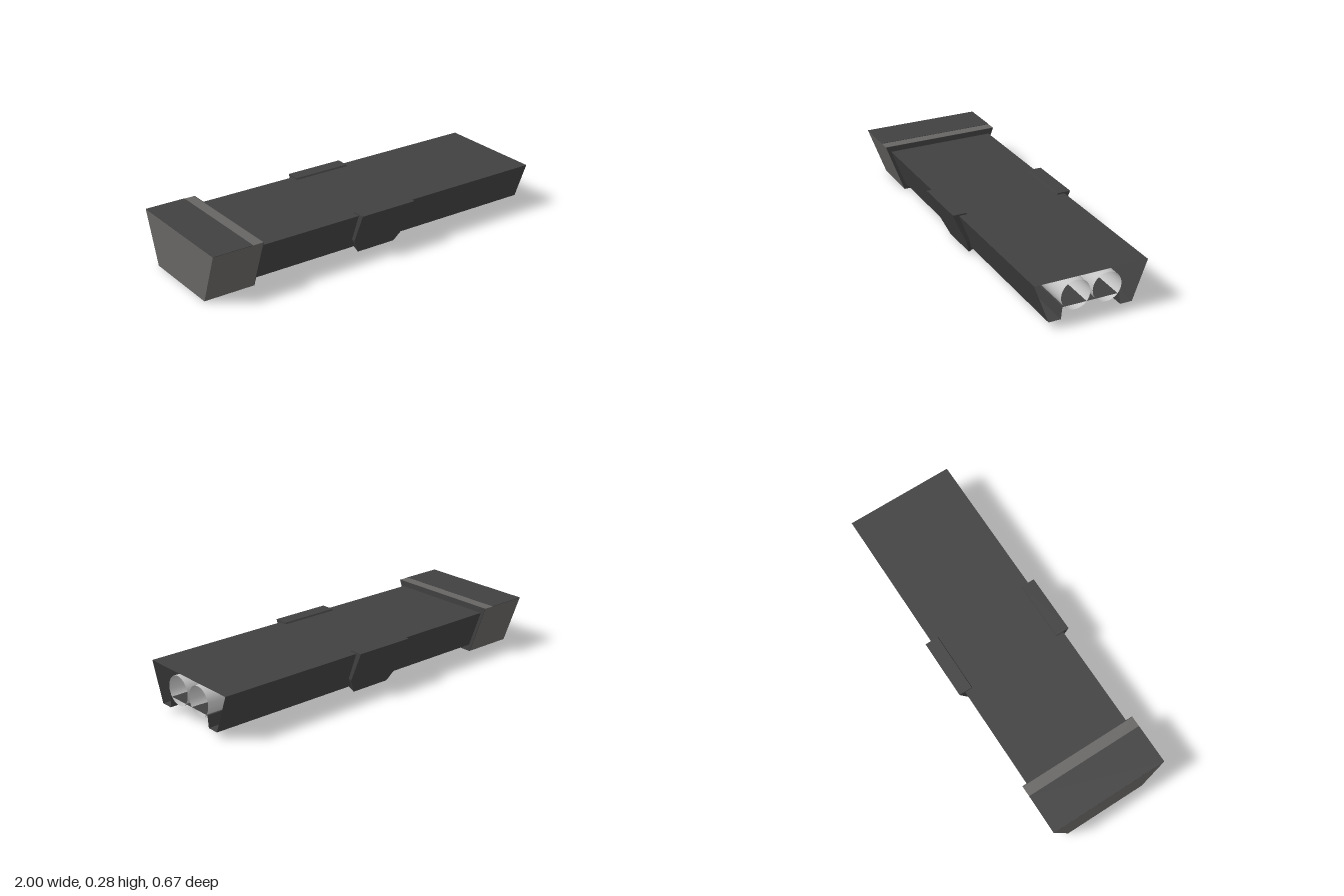
import * as THREE from 'three';

const dark = new THREE.MeshStandardMaterial({ color: 0x404040, side: THREE.DoubleSide });
dark.name = 'dark casing';
const grey = new THREE.MeshStandardMaterial({ color: 0x676563 });
grey.name = 'warm grey';
const metal = new THREE.MeshStandardMaterial({ color: 0xc4c4c4, side: THREE.DoubleSide });
metal.name = 'light metal';

// Joins matching loops of [x, y, z] points with flat faces, optionally capped.
function loft(sections, capped = true) {
  const pos = [];
  const tri = (a, b, c) => pos.push(...a, ...b, ...c);
  const n = sections[0].length;
  for (let s = 0; s < sections.length - 1; s++) {
    const a = sections[s], b = sections[s + 1];
    for (let i = 0; i < n; i++) {
      const j = (i + 1) % n;
      tri(a[i], a[j], b[j]);
      tri(a[i], b[j], b[i]);
    }
  }
  if (capped) {
    const first = sections[0], last = sections[sections.length - 1];
    for (let i = 1; i < n - 1; i++) {
      tri(first[0], first[i + 1], first[i]);
      tri(last[0], last[i], last[i + 1]);
    }
  }
  const g = new THREE.BufferGeometry();
  g.setAttribute('position', new THREE.Float32BufferAttribute(pos, 3));
  g.computeVertexNormals();
  return g;
}

// Straight bar along x from a [z, y] profile.
const bar = (profile, x0, x1, capped) =>
  loft([x0, x1].map((x) => profile.map(([z, y]) => [x, y, z])), capped);

export function createModel() {
  const model = new THREE.Group();
  const add = (name, geometry, material, parent = model) => {
    const m = new THREE.Mesh(geometry, material);
    m.name = name;
    parent.add(m);
    return m;
  };

  // Hollow casing with two lips and a recessed underside, open at the end
  add('casing', bar([
    [0.225, 0.037], [0.16, 0.037], [0.153, 0.1], [-0.153, 0.1],
    [-0.16, 0.037], [-0.225, 0.037], [-0.303, 0.245], [0.303, 0.245],
  ], -0.72, 1, false), dark);

  // End block, with a dark top plate and dark inner face
  const trapezoid = [[0.23, 0], [-0.23, 0], [-0.333, 0.276], [0.333, 0.276]];
  add('endBlock', bar(trapezoid, -1, -0.722), grey);
  add('endBlockInnerFace', bar(trapezoid, -0.722, -0.719), dark);
  const plate = add('endBlockTopPlate', new THREE.BoxGeometry(0.22, 0.002, 0.666), dark);
  plate.position.set(-0.89, 0.2765, 0);

  // Parallel open tubes
  for (const side of [1, -1]) {
    const tube = add(side > 0 ? 'leftTube' : 'rightTube',
      new THREE.CylinderGeometry(0.078, 0.078, 1.72, 32, 1, true), metal);
    tube.rotation.z = Math.PI / 2;
    tube.position.set(0.14, 0.15, side * 0.084);
  }

  // Side clips: slanted slabs tapering at the foot
  const clipLevel = (half, [zo, yo], [zi, yi]) =>
    [[-half, yo, zo], [half, yo, zo], [half, yi, zi], [-half, yi, zi]];
  const clipGeometry = loft([
    clipLevel(0.115, [0.228, 0], [0.152, 0.035]),
    clipLevel(0.165, [0.264, 0.085], [0.19, 0.116]),
    clipLevel(0.165, [0.337, 0.253], [0.263, 0.253]),
  ]);

  // Small blocks inside the underside channel
  const blockProfile = [[0.16, 0.037], [0.125, 0.037], [0.117, 0.1], [0.153, 0.1]];
  const blockGeometry = bar(blockProfile, -0.08, 0.08);

  for (const [turn, word] of [[0, 'front'], [Math.PI, 'back']]) {
    const clip = add(word + 'Clip', clipGeometry, dark);
    clip.position.x = 0.025;
    clip.rotation.y = turn;
    const block = add(word + 'ChannelBlock', blockGeometry, dark);
    block.position.x = -0.28;
    block.rotation.y = turn;
  }

  return model;
}
